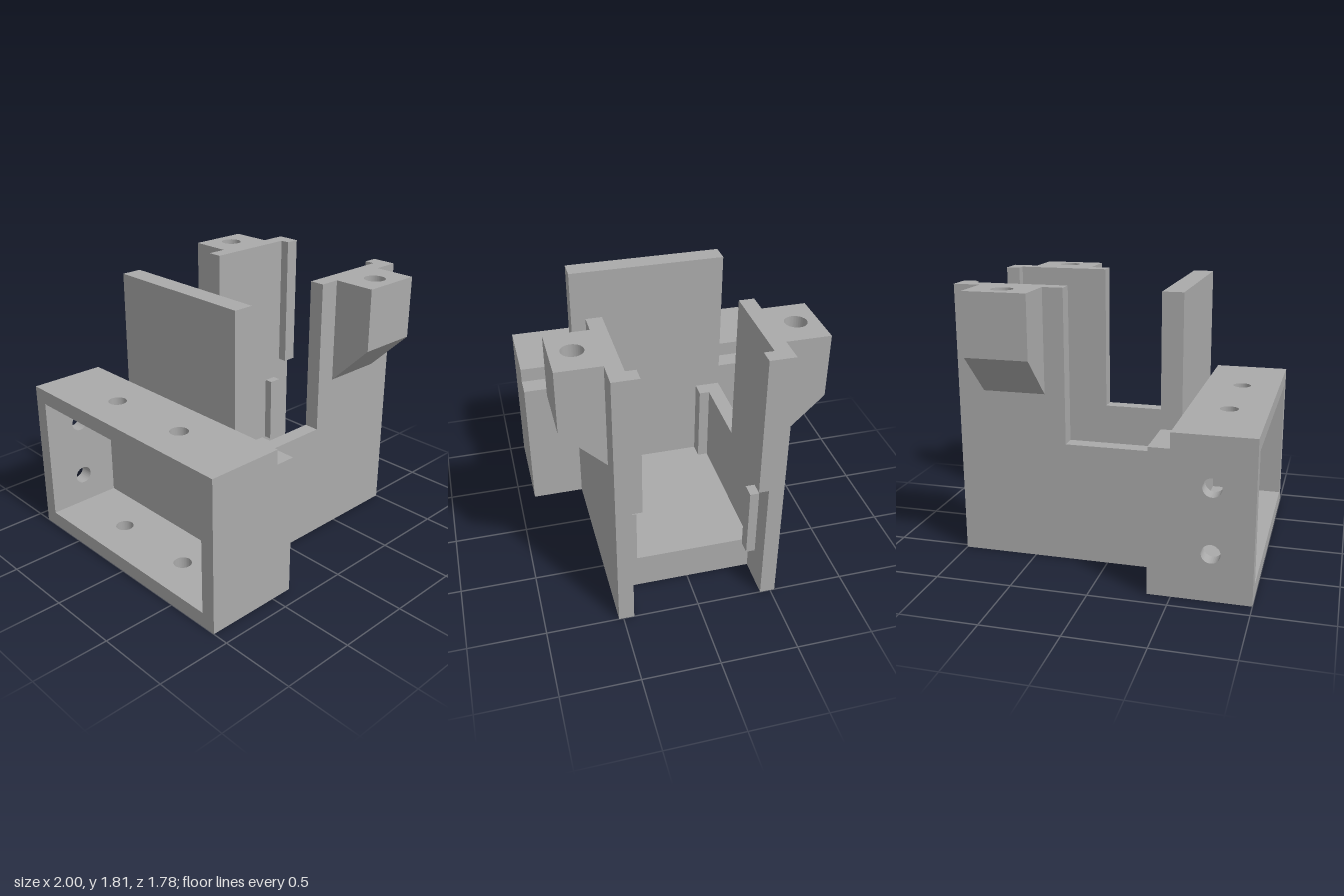
import * as THREE from 'three';
import { toCreasedNormals } from 'three/addons/utils/BufferGeometryUtils.js';

export function createModel() {
  const model = new THREE.Group();
  model.name = 'bracket';
  const grey = new THREE.MeshStandardMaterial({ color: 0xaaaaaa });
  grey.name = 'grey plastic';

  function add(name, geometry) {
    const mesh = new THREE.Mesh(geometry, grey);
    mesh.name = name;
    model.add(mesh);
    return mesh;
  }

  // Box given by its limits on each axis
  function block(name, [x0, x1], [y0, y1], [za, zb]) {
    const g = new THREE.BoxGeometry(x1 - x0, y1 - y0, Math.abs(zb - za));
    g.translate((x0 + x1) / 2, (y0 + y1) / 2, (za + zb) / 2);
    return add(name, g);
  }

  // Extruded outline with round holes, each [u, v, radius]
  function plate(points, depth, holes = []) {
    const shape = new THREE.Shape(points.map(([u, v]) => new THREE.Vector2(u, v)));
    for (const [u, v, r] of holes) {
      const hole = new THREE.Path();
      hole.absarc(u, v, r, 0, Math.PI * 2, true);
      shape.holes.push(hole);
    }
    const g = new THREE.ExtrudeGeometry(shape, { depth, bevelEnabled: false, curveSegments: 32 });
    return toCreasedNormals(g, 0.5);
  }
  const rect = (u0, u1, v0, v1) => [[u0, v0], [u1, v0], [u1, v1], [u0, v1]];

  // Hollow box, open towards -x, with screw holes above and below
  const screwHoles = [[-0.745, -0.31, 0.06], [-0.745, 0.31, 0.06]];
  for (const [name, top] of [['boxFloor', 0.1], ['boxTop', 1.05]]) {
    const g = plate(rect(-1, -0.485, -0.89, 0.89), 0.1, screwHoles);
    g.rotateX(Math.PI / 2).translate(0, top, 0);
    add(name, g);
  }
  const sideHoles = [[-0.74, 0.31, 0.06], [-0.74, 0.73, 0.06]];
  add('boxSideDrilled', plate(rect(-1, -0.485, 0.1, 0.95), 0.1, sideHoles).translate(0, 0, -0.89));
  block('boxSidePlain', [-1, -0.485], [0.1, 0.95], [0.79, 0.89]);
  block('boxBack', [-0.485, -0.35], [0, 0.95], [-0.89, 0.89]);

  // Tall divider and cradle floor
  block('tallDivider', [-0.485, -0.35], [0.95, 1.81], [-0.53, 0.53]);
  block('cradleFloor', [-0.35, 0.73], [0, 0.24], [-0.43, 0.43]);

  const wallOutline = [[-0.35, 0], [1, 0], [1, 1.81], [0.275, 1.81], [0.275, 0.8], [-0.35, 0.8]];
  for (const s of [-1, 1]) {
    const side = s > 0 ? 'front' : 'rear';

    // Stepped side wall with its inner ribs
    add(side + 'Wall', plate(wallOutline, 0.1).translate(0, 0, s * 0.48 - 0.05));
    block(side + 'CornerRib', [-0.35, -0.245], [0.24, 0.8], [s * 0.36, s * 0.43]);
    block(side + 'ShortRib', [0.76, 0.85], [0.24, 0.73], [s * 0.37, s * 0.43]);
    block(side + 'EndLip', [0.905, 1], [0.87, 1.81], [s * 0.365, s * 0.43]);

    // Screw boss with a blind hole and a sloping underside
    const boss = plate(rect(0.41, 0.825, Math.min(s * 0.53, s * 0.81), Math.max(s * 0.53, s * 0.81)),
      0.41, [[0.617, s * 0.67, 0.07]]);
    add(side + 'Boss', boss.rotateX(Math.PI / 2).translate(0, 1.81, 0));
    const gusset = plate([[s * 0.53, 1.125], [s * 0.81, 1.4], [s * 0.53, 1.4]], 0.415);
    add(side + 'BossGusset', gusset.rotateY(-Math.PI / 2).translate(0.825, 0, 0));
  }
  return model;
}
